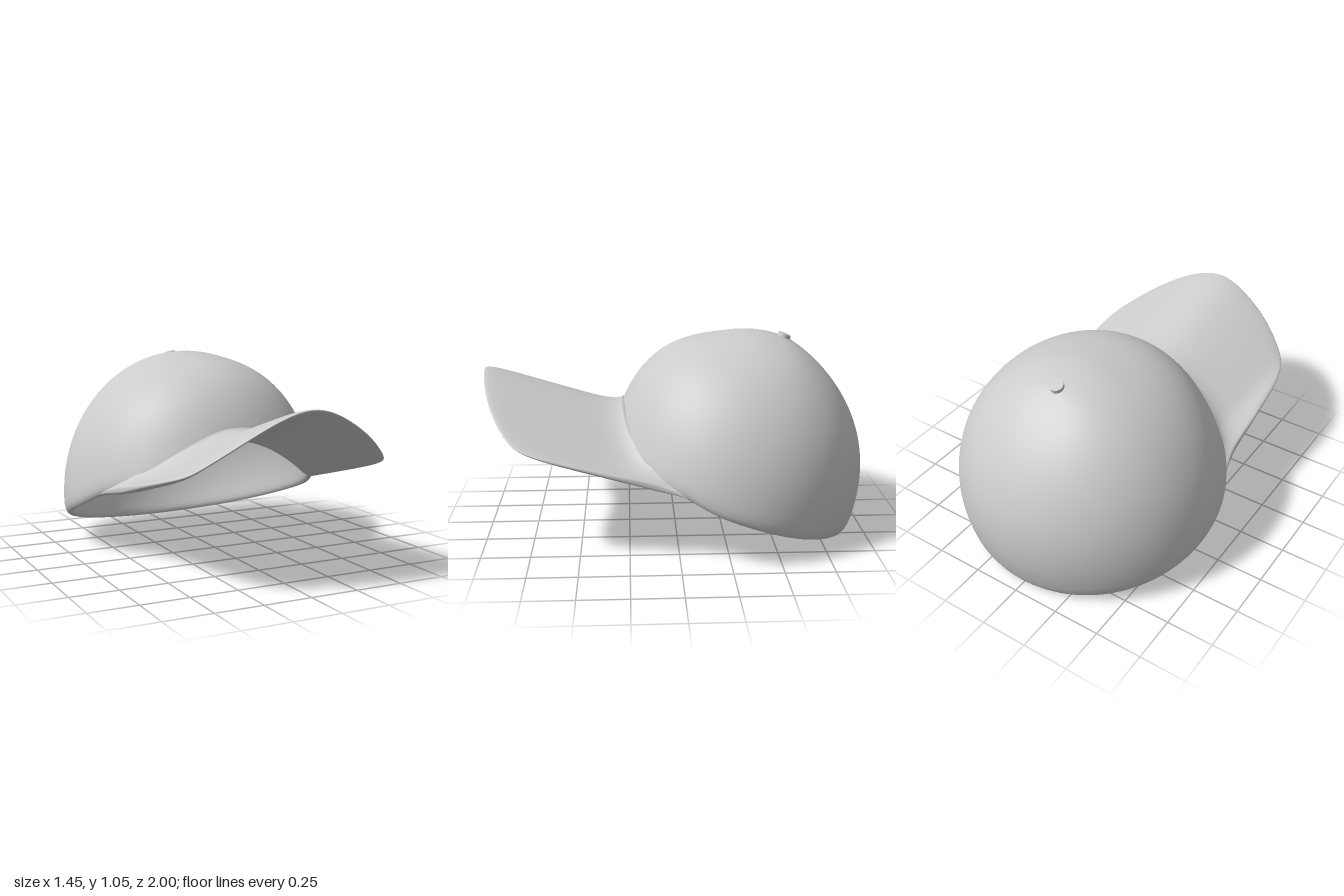
import * as THREE from 'three';
import { mergeVertices } from 'three/addons/utils/BufferGeometryUtils.js';

const material = new THREE.MeshStandardMaterial({ color: 0xcccccc, side: THREE.DoubleSide });
const TILT = 0.355;                       // the crown leans back by this angle
const BASE = { y: 0.234, z: -0.286 };     // middle of the opening

// Point on the crown: theta runs around from the front, a rises from rim (0) to top (PI / 2)
function crownPoint(theta, a, scale = 1) {
  const facing = Math.cos(theta);
  // fuller forehead, slightly flattened upper back, plain ellipse at the sides
  const bulge = a > 0 && a < 1.16 ? 0.07 * Math.sin(2.7 * a) ** 2 : 0;
  const back = 0.012 * Math.sin(4 * a) - 0.02 * Math.sin(a) ** 2 * Math.sin(2 * a);
  const k = scale * (1 + (facing > 0 ? bulge : back) * facing ** 2);
  const r = 0.69 * k * Math.cos(a), h = 0.838 * k * Math.sin(a);
  const s = r * facing, c = Math.cos(TILT), n = Math.sin(TILT);
  return new THREE.Vector3(1.05 * r * Math.sin(theta), BASE.y + s * n + h * c, BASE.z + s * c - h * n);
}

const smoothMax = (a, b, soft) => (a + b + Math.sqrt((a - b) ** 2 + soft)) / 2;

// Height of the brim's upper face: an arch that flattens out along both sides
function brimHeight(x, z) {
  const arch = 0.885 - 0.315 * (1 - z) - 0.64 * (Math.hypot(x, 0.2) - 0.2);
  return smoothMax(arch, 0.382 + Math.min(0.37 * z, 0.25 * z), 0.0006);
}

// Crown angle at which the wall meets the brim surface, lowered by drop
function meetAngle(theta, drop) {
  let lo = -0.5, hi = 0.7;
  for (let i = 0; i < 24; i++) {
    const mid = (lo + hi) / 2, p = crownPoint(theta, mid);
    if (p.y < brimHeight(p.x, p.z) - drop) lo = mid; else hi = mid;
  }
  return lo;
}

// Smooth surface over a list of columns of points
function loft(columns) {
  const rows = columns[0].length, index = [];
  for (let i = 0; i < columns.length - 1; i++) {
    for (let j = 0; j < rows - 1; j++) {
      const a = i * rows + j, b = a + rows;
      index.push(a, b, b + 1, a, b + 1, a + 1);
    }
  }
  const geometry = new THREE.BufferGeometry().setFromPoints(columns.flat());
  geometry.setIndex(index);
  const merged = mergeVertices(geometry, 1e-5);
  merged.computeVertexNormals();
  return merged;
}

// Hollow dome: inside wall down, rounded rim, outside wall up
function crownGeometry() {
  const columns = [], around = 128, steps = 36;
  for (let i = 0; i <= around; i++) {
    const theta = ((i % around) / around) * Math.PI * 2;
    const w = THREE.MathUtils.smoothstep(Math.cos(theta), 0.1, 0.5);
    const rim = w > 0 ? w * smoothMax(0, meetAngle(theta, 0.025), 0.0006) : 0;
    const column = [];
    const wall = (t, start, scale) => crownPoint(theta, THREE.MathUtils.lerp(start, Math.PI / 2, t), scale);
    for (let j = steps; j >= 0; j--) column.push(wall(j / steps, rim + 0.06, 0.935 + 0.01 * j / steps));
    for (const [da, scale] of [[0.03, 0.937], [0.01, 0.945], [0, 0.958], [0, 0.972], [0.012, 0.986], [0.035, 0.995]])
      column.push(crownPoint(theta, rim + da, scale));
    for (let j = 0; j <= steps; j++) column.push(wall(j / steps, rim + 0.07, 1));
    columns.push(column);
  }
  return loft(columns);
}

// Curved brim: fans out from the crown wall to a rounded outline
function brimGeometry() {
  const half = [[0.3, 0.95], [0.45, 0.875], [0.53, 0.8], [0.57, 0.69], [0.592, 0.4], [0.6, 0.16], [0.622, 0.04], [0.645, -0.03], [0.665, -0.09]];
  const outline = new THREE.CatmullRomCurve3([
    ...half.map(([x, z]) => new THREE.Vector3(-x, 0, z)).reverse(),
    new THREE.Vector3(0, 0, 1),
    ...half.map(([x, z]) => new THREE.Vector3(x, 0, z)),
  ]);
  outline.arcLengthDivisions = 600;
  const columns = [], across = 120, steps = 32;
  for (let i = 0; i <= across; i++) {
    const u = (i / across) * 2 - 1, theta = u * 1.2;
    const wall = crownPoint(theta, Math.max(meetAngle(theta, 0), 0.02), 0.933);
    const edge = outline.getPointAt(i / across);
    const reach = Math.hypot(edge.x - wall.x, edge.z - wall.z);
    const join = Math.min(1, reach / 0.25);
    const point = (t, side) => {
      const f = Math.sin((t * Math.PI) / 2), d = f * reach;
      const x = THREE.MathUtils.lerp(wall.x, edge.x, f), z = THREE.MathUtils.lerp(wall.z, edge.z, f);
      const thick = (0.022 - 0.006 * f) * Math.min(1, reach / 0.12) * Math.sqrt(Math.max(0, 1 - f ** 12));
      // fillet where the upper face runs into the crown, softened edge underneath
      const fillet = side > 0
        ? (0.055 + 0.055 * Math.abs(u)) * join * Math.exp(-d / 0.055)
        : 0.018 * join * Math.exp(-d / 0.025);
      return new THREE.Vector3(x, brimHeight(x, z) - 0.02 + side * thick + fillet, z);
    };
    const column = [];
    for (let j = 0; j <= steps; j++) column.push(point(j / steps, -1));
    for (let j = steps - 1; j >= 0; j--) column.push(point(j / steps, 1));
    column.push(point(0, -1));
    columns.push(column);
  }
  return loft(columns);
}

export function createModel() {
  const group = new THREE.Group();
  group.name = 'cap';
  const add = (name, geometry) => {
    const mesh = new THREE.Mesh(geometry, material);
    mesh.name = name;
    group.add(mesh);
    return mesh;
  };
  add('crown', crownGeometry());
  add('brim', brimGeometry());

  // Button on the crown's axis
  const button = add('topButton', new THREE.CylinderGeometry(0.034, 0.036, 0.034, 32));
  button.position.set(0, 1.02, -0.577);
  button.rotation.x = -TILT;
  return group;
}
